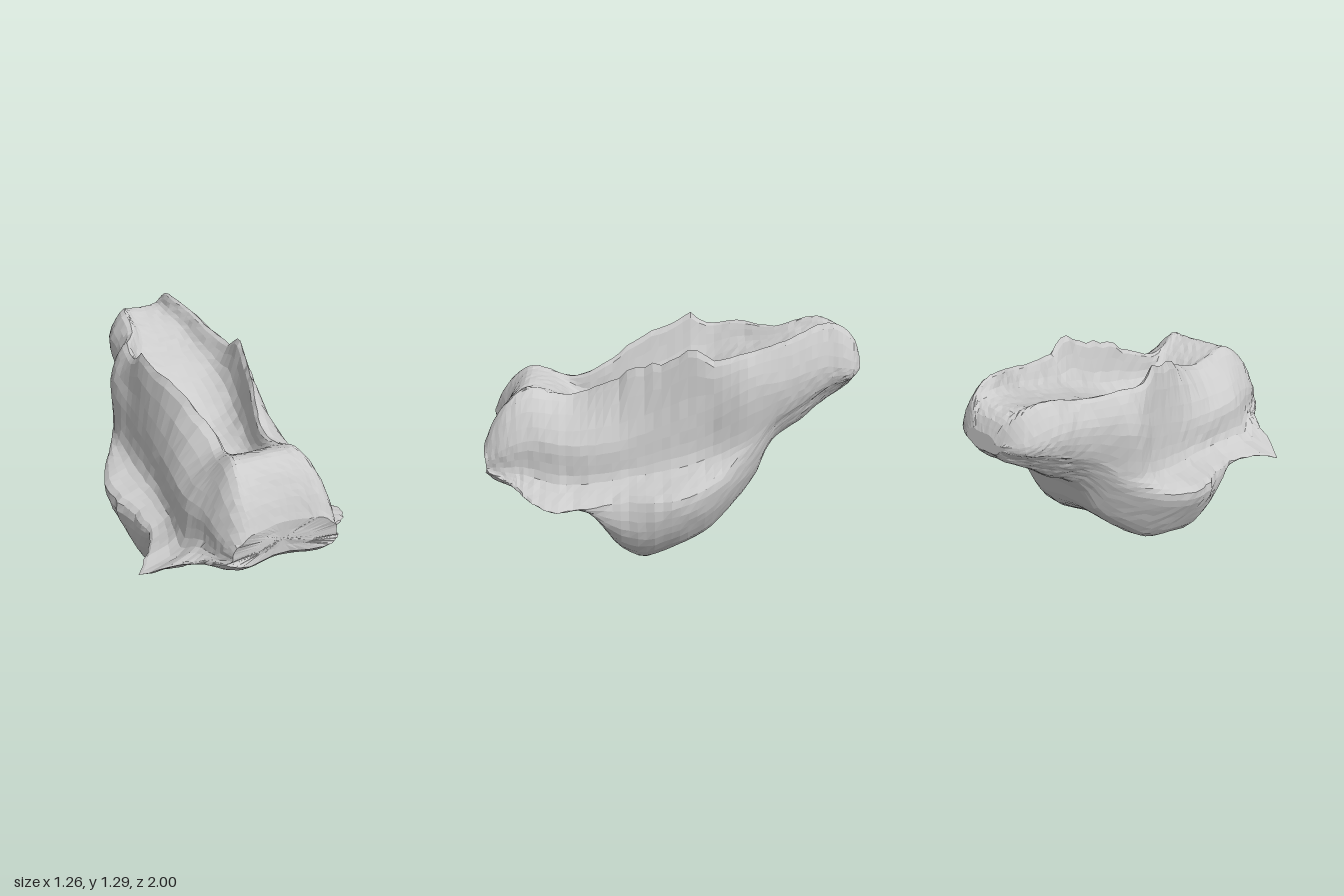
import * as THREE from 'three';

const { lerp, smoothstep, clamp } = THREE.MathUtils;

// Smooth curve through [z, value] keys listed from front (+z) to back (-z)
function curve(...k) {
  const slope = i => {
    const a = k[Math.max(i - 1, 0)], b = k[Math.min(i + 1, k.length - 1)];
    return (b[1] - a[1]) / (b[0] - a[0]);
  };
  return z => {
    let i = 0;
    while (i < k.length - 2 && z < k[i + 1][0]) i++;
    const h = k[i + 1][0] - k[i][0];
    const t = clamp((z - k[i][0]) / h, 0, 1), t2 = t * t, t3 = t2 * t;
    return (2 * t3 - 3 * t2 + 1) * k[i][1] + (t3 - 2 * t2 + t) * h * slope(i)
      + (3 * t2 - 2 * t3) * k[i + 1][1] + (t3 - t2) * h * slope(i + 1);
  };
}

// Sideways drift of the centre line
const shift = curve([1, 0], [0.7, 0], [0.4, 0.04], [0, 0.045], [-0.4, 0.045], [-0.6, 0.09], [-0.8, 0.08], [-1, 0.12]);
// Hollow floor and rim of the opening
const floorY = curve([1, 0.63], [0.95, 0.74], [0.85, 0.86], [0.75, 0.91], [0.62, 0.87], [0.54, 0.81], [0.45, 0.74], [0.3, 0.74],
  [0.1, 0.77], [0, 0.81], [-0.1, 0.86], [-0.2, 0.92], [-0.35, 1], [-0.55, 1.08], [-0.75, 1.16], [-0.9, 1.2], [-0.97, 1.16], [-1, 1.09]);
const rimX = curve([1, 0.2], [0.9, 0.21], [0.75, 0.18], [0.6, 0.15], [0.45, 0.13], [0.3, 0.17], [0.15, 0.22], [0, 0.27],
  [-0.2, 0.3], [-0.4, 0.27], [-0.6, 0.2], [-0.8, 0.15], [-0.95, 0.12], [-1, 0.07]);
const rimY = curve([1, 0.63], [0.95, 0.74], [0.85, 0.86], [0.75, 0.915], [0.6, 0.88], [0.5, 0.88], [0.3, 0.98], [0.15, 1.07],
  [0, 1.13], [-0.14, 1.19], [-0.2, 1.13], [-0.4, 1.16], [-0.6, 1.22], [-0.8, 1.285], [-0.9, 1.26], [-0.97, 1.18], [-1, 1.1]);
// Upper wall
const wallX = curve([1, 0.29], [0.9, 0.32], [0.75, 0.33], [0.6, 0.36], [0.4, 0.36], [0.2, 0.34], [0, 0.34], [-0.2, 0.35],
  [-0.3, 0.37], [-0.4, 0.37], [-0.6, 0.29], [-0.8, 0.25], [-0.95, 0.2], [-1, 0.12]);
const wallY = curve([1, 0.56], [0.9, 0.63], [0.75, 0.68], [0.5, 0.68], [0.2, 0.72], [0, 0.8], [-0.2, 0.88], [-0.4, 1],
  [-0.6, 1.03], [-0.8, 1.08], [-1, 1.05]);
// Flared side ledge
const ledgeX = curve([1, 0.32], [0.95, 0.36], [0.9, 0.39], [0.8, 0.45], [0.7, 0.55], [0.6, 0.58], [0.4, 0.5], [0.2, 0.52],
  [0, 0.56], [-0.1, 0.55], [-0.25, 0.48], [-0.35, 0.41], [-0.45, 0.34], [-0.55, 0.26], [-0.7, 0.22], [-0.85, 0.2], [-0.95, 0.17], [-1, 0.1]);
const ledgeY = curve([1, 0.49], [0.95, 0.46], [0.8, 0.43], [0.6, 0.39], [0.4, 0.4], [0.2, 0.43], [0, 0.46], [-0.2, 0.51],
  [-0.35, 0.57], [-0.45, 0.63], [-0.55, 0.75], [-0.7, 0.85], [-0.85, 0.95], [-1, 1.02]);
// Rounded underside
const bulbX = curve([1, 0.28], [0.9, 0.34], [0.6, 0.43], [0.4, 0.48], [0.2, 0.52], [0, 0.52], [-0.2, 0.46], [-0.35, 0.37],
  [-0.5, 0.26], [-0.6, 0.2], [-0.75, 0.18], [-0.9, 0.15], [-1, 0.08]);
const baseY = curve([1, 0.46], [0.95, 0.42], [0.75, 0.4], [0.6, 0.36], [0.5, 0.34], [0.42, 0.29], [0.35, 0.17], [0.28, 0.07],
  [0.2, 0.02], [0.13, 0.005], [0, 0.055], [-0.2, 0.14], [-0.4, 0.33], [-0.48, 0.45], [-0.53, 0.6], [-0.7, 0.73], [-0.85, 0.86],
  [-0.95, 0.93], [-1, 0.99]);

let seed = 7;
const jitter = s => {
  seed = (seed * 16807) % 2147483647;
  return (seed / 2147483647 - 0.5) * 2 * s;
};

// Closed cross-section at z, running clockwise seen from the front
function section(z, count) {
  const half = side => {
    const b = baseY(z), wx = wallX(z), wy = wallY(z);
    const ragged = smoothstep(z, -0.3, -0.1) * (1 - smoothstep(z, 0.25, 0.45));
    const ry = rimY(z) - (side < 0 ? 0.06 * smoothstep(-z, 0.35, 0.6) : 0) + jitter(0.018) * ragged;
    // Frayed ledge with one drooping tip
    const tip = side < 0 ? Math.exp(-(((z - 0.67) / 0.06) ** 2)) : 0;
    const frill = jitter(0.014) * smoothstep(z, -0.2, 0.1) * (1 - smoothstep(z, 0.75, 0.9));
    const ox = ledgeX(z) + frill + 0.06 * tip, oy = ledgeY(z) - 0.05 * tip;
    const bx = bulbX(z) * (side < 0 ? 0.95 : 1.03);
    return [
      [rimX(z) * 0.68, lerp(floorY(z), ry, 0.25)],
      [rimX(z), ry],
      [wx, wy],
      [lerp(wx, ox, 0.22), lerp(oy, wy, 0.28)],
      [ox, oy],
      [bx, lerp(oy, b, 0.5)],
      [bx * 0.66, b],
    ].map(([x, y]) => new THREE.Vector3(side * x + shift(z), y, 0));
  };
  const points = [
    new THREE.Vector3(shift(z), floorY(z), 0), ...half(1),
    new THREE.Vector3(shift(z), baseY(z) + 0.03 * smoothstep(z, -0.6, -0.2) * (1 - smoothstep(z, 0.7, 0.9)), 0),
    ...half(-1).reverse(),
  ];
  const loop = new THREE.CatmullRomCurve3(points, true, 'centripetal');
  return Array.from({ length: count }, (_, j) => loop.getPoint(j / count));
}

// Front face: a dent between two lobes, rounded off at the sides
const setBack = (x, z) => {
  const a = Math.abs(x);
  const dent = a < 0.25 ? 0.025 * (1 + Math.cos(Math.PI * a / 0.25)) : 6 * Math.min(a - 0.25, 0.12) ** 2;
  return dent * smoothstep(z, 0.75, 1);
};

// Skin the cross-sections from front to back and close both ends
function bodyGeometry(rows = 60, count = 64) {
  const pos = [], index = [];
  const addRing = (ring, z) => {
    for (const p of ring) {
      pos.push(p.x + jitter(0.003), Math.max(0, p.y + jitter(0.003)), z - setBack(p.x, z));
    }
  };
  // Shrunken copy of an end section, used to close it
  const shrink = (z, s) => {
    const ring = section(z, count);
    const c = ring.reduce((sum, p) => sum.add(p), new THREE.Vector3()).divideScalar(count);
    return ring.map(p => p.lerp(c, 1 - s));
  };
  addRing(shrink(1, 0.01), 1);
  addRing(shrink(1, 0.5), 1);
  for (let i = 0; i <= rows; i++) {
    const u = i / rows;
    const z = lerp(1 - 2 * u, Math.cos(Math.PI * u), 0.6);
    addRing(section(z, count), z);
  }
  addRing(shrink(-1, 0.5), -1);
  addRing(shrink(-1, 0.01), -1);
  for (let i = 0; i < rows + 4; i++) {
    for (let j = 0; j < count; j++) {
      const a = i * count + j, b = i * count + (j + 1) % count, c = a + count, d = b + count;
      index.push(a, b, c, b, d, c);
    }
  }
  const g = new THREE.BufferGeometry();
  g.setAttribute('position', new THREE.Float32BufferAttribute(pos, 3));
  g.setIndex(index);
  g.computeVertexNormals();
  return g;
}

export function createModel() {
  const group = new THREE.Group();
  group.name = 'hollowLumpyForm';
  const material = new THREE.MeshStandardMaterial({ color: 0xcccccc, flatShading: true, side: THREE.DoubleSide });
  const body = new THREE.Mesh(bodyGeometry(), material);
  body.name = 'body';
  group.add(body);
  return group;
}
